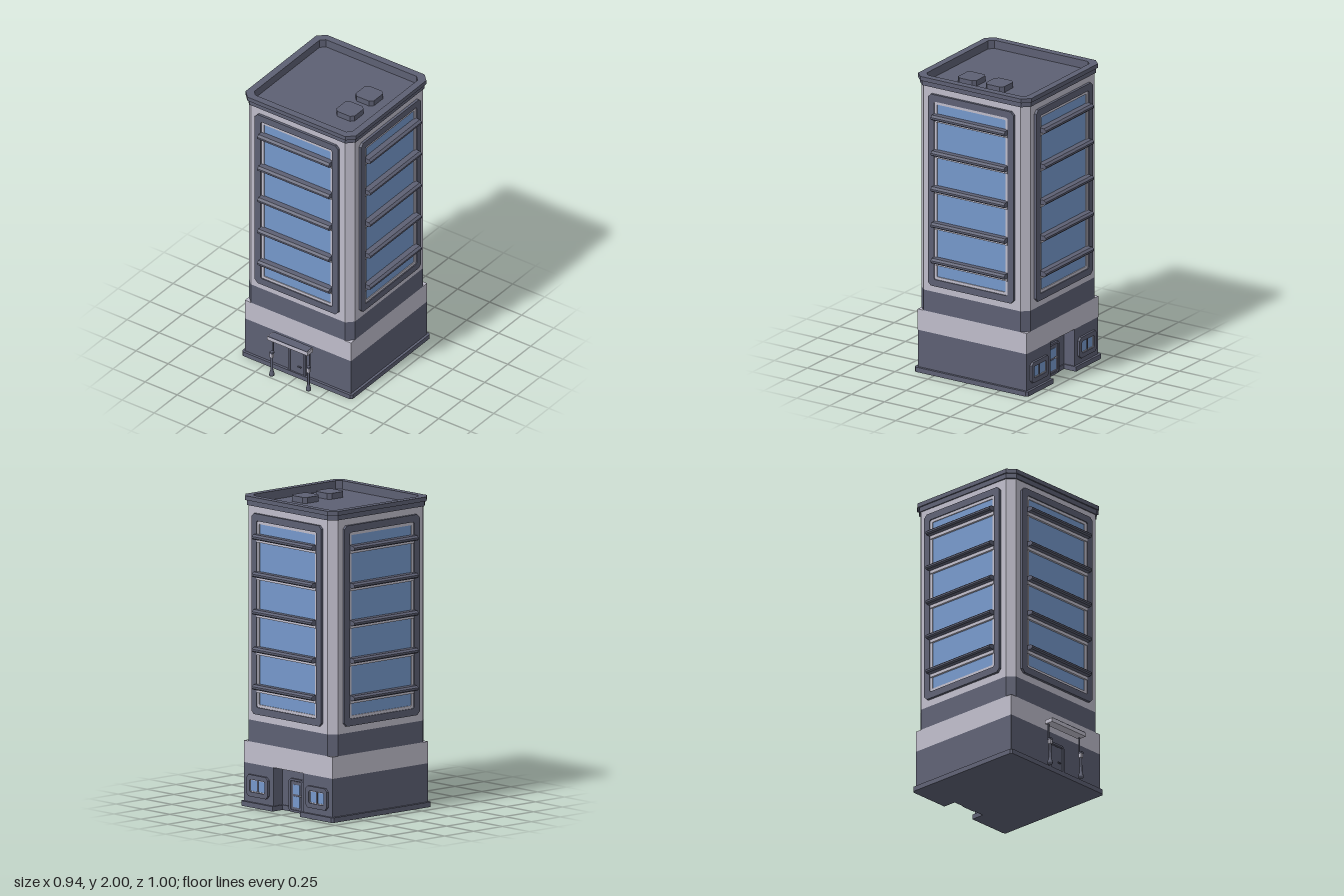
import * as THREE from 'three';

const mat = (name, color) => {
  const m = new THREE.MeshStandardMaterial({ color });
  m.name = name;
  return m;
};

export function createModel() {
  const slate = mat('slate', 0x5d6073);
  const stone = mat('pale stone', 0xbfbdcb);
  const glass = mat('blue glass', 0x7598cb);
  const H = 0.413; // half width of the walls

  const model = new THREE.Group();
  model.name = 'towerBlock';
  const building = new THREE.Group();
  building.name = 'building';
  building.position.z = -0.028;
  model.add(building);

  const add = (parent, name, geo, material, x = 0, y = 0, z = 0) => {
    const mesh = new THREE.Mesh(geo, material);
    mesh.name = name;
    mesh.position.set(x, y, z);
    parent.add(mesh);
    return mesh;
  };
  const box = (parent, name, material, w, h, d, x, y, z) =>
    add(parent, name, new THREE.BoxGeometry(w, h, d), material, x, y, z);

  // Rectangle with cut corners, centred on the origin
  const cutRect = (w, h, c) => {
    const a = w / 2, b = h / 2;
    return [[-a + c, -b], [a - c, -b], [a, -b + c], [a, b - c],
      [a - c, b], [-a + c, b], [-a, b - c], [-a, -b + c]].map(p => new THREE.Vector2(...p));
  };
  const extrude = (points, depth, hole) => {
    const shape = new THREE.Shape(points);
    if (hole) shape.holes.push(new THREE.Path(hole));
    return new THREE.ExtrudeGeometry(shape, { depth, bevelEnabled: false });
  };
  // Plan outline raised from y0 to y1
  const storey = (name, material, points, y0, y1, hole) =>
    add(building, name, extrude(points, y1 - y0, hole).rotateX(-Math.PI / 2), material, 0, y0, 0);
  // Upright ring standing out from a wall
  const ring = (parent, name, material, w, h, c, t, z0, z1, x, y) =>
    add(parent, name, extrude(cutRect(w, h, c), z1 - z0,
      cutRect(w - 2 * t, h - 2 * t, c * 0.4)), material, x, y, z0);

  // Base with a notch for the rear entrance
  const notched = (h, c, nx, ny) => [
    [-h + c, -h], [h - c, -h], [h, -h + c], [h, h - c], [h - c, h], [nx, h], [nx, ny],
    [-nx, ny], [-nx, h], [-h + c, h], [-h, h - c], [-h, -h + c]].map(p => new THREE.Vector2(...p));
  storey('base', slate, notched(H, 0.001, 0.138, 0.333), 0, 0.28);
  storey('baseTrim', slate, notched(0.43, 0.013, 0.13, 0.34), 0, 0.032);
  box(building, 'baseBand', stone, 2 * H, 0.14, 2 * H, 0, 0.35, 0);

  // Tower with chamfered corners
  const plan = cutRect(2 * H, 2 * H, 0.045);
  storey('towerBand', slate, plan, 0.42, 0.56);
  storey('towerWalls', stone, plan, 0.56, 1.94);

  // Roof deck, parapet and hatches
  const well = cutRect(0.766, 0.766, 0.03);
  storey('roofDeck', slate, cutRect(0.8, 0.8, 0.045), 1.93, 1.945);
  storey('cornice', slate, cutRect(0.842, 0.842, 0.047), 1.94, 1.972, well);
  storey('parapet', slate, cutRect(0.86, 0.86, 0.048), 1.972, 2, well);
  for (const z of [-0.1, 0.11]) {
    add(building, 'roofHatch', extrude(cutRect(0.143, 0.14, 0.022), 0.038).rotateX(-Math.PI / 2),
      slate, 0.208, 1.945, z + 0.028);
  }

  // Sill cross-section: x is the distance out from the wall
  const sillShape = [[0, 0], [0.048, 0], [0.057, 0.008], [0.057, 0.02], [0.042, 0.032], [0, 0.032]]
    .map(p => new THREE.Vector2(...p));
  const sillGeo = extrude(sillShape, 0.556).translate(0, 0, -0.278).rotateY(-Math.PI / 2);

  // The same tall window on all four sides
  for (let i = 0; i < 4; i++) {
    const side = new THREE.Group();
    side.name = 'tallWindow';
    side.rotation.y = i * Math.PI / 2;
    building.add(side);
    ring(side, 'windowFrame', slate, 0.65, 1.292, 0.022, 0.046, H, 0.43, 0, 1.251);
    ring(side, 'windowLining', stone, 0.56, 1.204, 0.008, 0.021, H, 0.423, 0, 1.251);
    box(side, 'windowGlass', glass, 0.522, 1.166, 0.006, 0, 1.251, H + 0.001);
    for (let k = 0; k < 5; k++) {
      const y = 1.752 - k * 0.2415;
      add(side, 'sunShade', sillGeo, slate, 0, y - 0.016, H);
      box(side, 'shadeRail', stone, 0.55, 0.021, 0.018, 0, y - 0.0265, H + 0.009);
    }
  }

  // Front door
  const front = new THREE.Group();
  front.name = 'frontEntrance';
  building.add(front);
  ring(front, 'doorFrame', slate, 0.132, 0.21, 0.015, 0.014, H, H + 0.014, 0, 0.106);
  box(front, 'door', slate, 0.104, 0.184, 0.008, 0, 0.1, H + 0.003);
  box(front, 'doorHandle', slate, 0.024, 0.007, 0.01, 0.02, 0.085, H + 0.01);

  // Free-standing canopy on slim posts
  box(front, 'canopy', stone, 0.314, 0.026, 0.062, 0, 0.295, 0.497);
  box(front, 'canopyTop', slate, 0.3, 0.006, 0.062, 0, 0.308, 0.497);
  const foot = new THREE.LatheGeometry([[0, 0], [0.017, 0], [0.017, 0.012], [0.009, 0.045],
    [0.008, 0.14], [0, 0.14]].map(p => new THREE.Vector2(...p)), 8);
  for (const s of [-1, 1]) {
    add(front, 'postFoot', foot, slate, s * 0.143, 0, 0.498);
    box(front, 'postCollar', stone, 0.02, 0.03, 0.02, s * 0.143, 0.153, 0.498);
    box(front, 'postCap', slate, 0.023, 0.012, 0.023, s * 0.143, 0.173, 0.498);
    add(front, 'postRod', new THREE.CylinderGeometry(0.005, 0.005, 0.11, 8), slate,
      s * 0.143, 0.232, 0.484);
  }

  // Rear wall: two small windows and a recessed glazed door
  const rear = new THREE.Group();
  rear.name = 'rearEntrance';
  rear.rotation.y = Math.PI;
  building.add(rear);
  for (const s of [-1, 1]) {
    const x = s * 0.275;
    ring(rear, 'smallWindowFrame', slate, 0.2, 0.14, 0.02, 0.03, H, 0.428, x, 0.14);
    ring(rear, 'smallWindowLining', stone, 0.142, 0.082, 0.003, 0.006, H, 0.42, x, 0.14);
    box(rear, 'smallWindowGlass', glass, 0.132, 0.072, 0.006, x, 0.14, H + 0.001);
    box(rear, 'smallWindowMullion', slate, 0.01, 0.074, 0.01, x, 0.14, H + 0.004);
  }
  const zd = 0.333;
  ring(rear, 'rearDoorFrame', slate, 0.132, 0.215, 0.015, 0.014, zd, zd + 0.014, 0, 0.108);
  box(rear, 'rearDoor', slate, 0.104, 0.19, 0.008, 0, 0.103, zd + 0.003);
  for (const [y, h] of [[0.147, 0.06], [0.067, 0.07]]) {
    box(rear, 'rearDoorPane', glass, 0.062, h, 0.004, 0, y, zd + 0.007);
  }
  box(rear, 'rearDoorHandle', stone, 0.022, 0.007, 0.01, 0.035, 0.108, zd + 0.011);

  return model;
}
